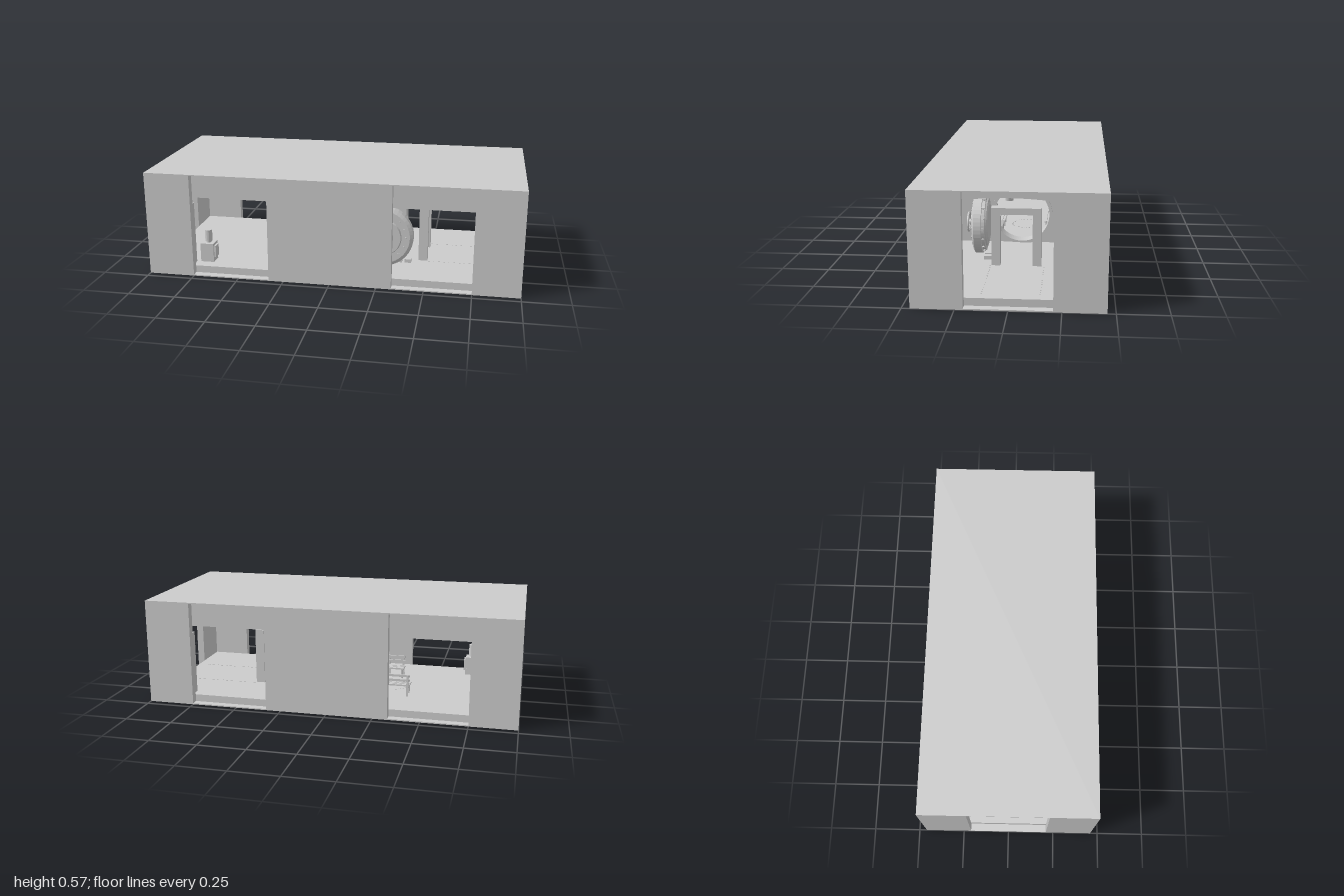
import * as THREE from 'three';

const grey = new THREE.MeshStandardMaterial({ color: 0xcccccc, flatShading: true });

export function createModel() {
  const root = new THREE.Group();

  const group = (name, x = 0, y = 0, z = 0, parent = root) => {
    const g = new THREE.Group();
    g.name = name;
    g.position.set(x, y, z);
    parent.add(g);
    return g;
  };
  const add = (name, geo, x = 0, y = 0, z = 0, parent = root) => {
    const m = new THREE.Mesh(geo, grey);
    m.name = name;
    m.position.set(x, y, z);
    parent.add(m);
    return m;
  };
  // Box from its minimum and maximum on each axis
  const box = (name, x0, x1, y0, y1, z0, z1, parent = root) =>
    add(name, new THREE.BoxGeometry(x1 - x0, y1 - y0, z1 - z0),
      (x0 + x1) / 2, (y0 + y1) / 2, (z0 + z1) / 2, parent);
  const cyl = (name, r0, r1, h, x, y, z, parent = root, n = 24) =>
    add(name, new THREE.CylinderGeometry(r0, r1, h, n), x, y, z, parent);
  // Shape in the z-y plane, extruded along x
  const acrossX = (name, shape, x0, x1) => {
    const geo = new THREE.ExtrudeGeometry(shape, { depth: x1 - x0, bevelEnabled: false, curveSegments: 48 });
    geo.rotateY(Math.PI / 2);
    return add(name, geo, x0, 0, 0);
  };

  const W = 0.42, SPRING = 0.435, FLOOR = 0.045;
  // Points of the elliptical ceiling, from +z to -z
  const arch = (drop = 0) => Array.from({ length: 33 }, (_, i) => {
    const a = (i / 32) * Math.PI;
    return new THREE.Vector2(Math.cos(a) * (W - drop), SPRING + Math.sin(a) * (0.095 - drop));
  });

  // Outer shell: roof, base and wall piers between the open bays
  box('roof', -1, 1, 0.564, 0.57, -0.46, 0.46);
  box('base', -1, 1, 0, 0.006, -0.46, 0.46);
  for (const s of [-1, 1]) {
    const z0 = s > 0 ? 0.42 : -0.46;
    for (const [a, b] of [[-1, -0.75], [-0.33, 0.33], [0.75, 1]])
      box('sideWall', a, b, 0.006, 0.564, z0, z0 + 0.04);
    const x0 = s > 0 ? 0.96 : -1;
    box('endWall', x0, x0 + 0.04, 0.006, 0.564, 0.21, 0.43);
    box('endWall', x0, x0 + 0.04, 0.006, 0.564, -0.43, -0.21);
  }

  // Floor slab and vaulted ceiling block
  box('floor', -0.96, 0.96, 0.006, FLOOR, -W, W);
  acrossX('vaultedCeiling', new THREE.Shape([
    ...arch(), new THREE.Vector2(-W, 0.564), new THREE.Vector2(W, 0.564)]), -0.96, 0.96);
  for (const x of [-0.78, -0.26, 0.26, 0.78])
    acrossX('ceilingRib', new THREE.Shape([...arch(), ...arch(0.014).reverse()]), x - 0.014, x + 0.014);

  // Ceiling lamps
  for (const x of [-0.88, -0.52, 0.52, 0.88]) {
    const lamp = group('ceilingLamp', x, 0, 0);
    cyl('lampFlange', 0.03, 0.03, 0.009, 0, 0.526, 0, lamp);
    cyl('lampBody', 0.022, 0.018, 0.022, 0, 0.511, 0, lamp);
  }

  // Partition with the round doorway, its rim and the panel above it
  const wall = new THREE.Shape([...arch(), new THREE.Vector2(-W, FLOOR), new THREE.Vector2(W, FLOOR)]);
  const hole = new THREE.Path();
  hole.absarc(0, 0.21, 0.155, 0, Math.PI * 2, true);
  wall.holes.push(hole);
  acrossX('partition', wall, 0.03, 0.08);
  const rim = new THREE.Shape();
  rim.absarc(0, 0.21, 0.172, 0, Math.PI * 2, false);
  rim.holes.push(hole);
  acrossX('doorwayRim', rim, 0.02, 0.092);
  box('wallPanel', 0.08, 0.09, 0.4, 0.5, -0.15, 0.15);

  // Round vault door, swung open so that it faces the front
  const door = group('vaultDoor', 0.255, 0.21, 0.2);
  const profile = [[0, -0.035], [0.1, -0.035], [0.11, -0.03], [0.125, -0.03], [0.13, -0.022], [0.15, -0.022],
    [0.152, -0.005], [0.168, -0.005], [0.168, 0.035], [0.15, 0.045], [0.105, 0.045], [0.1, 0.055],
    [0.06, 0.055], [0.055, 0.062], [0, 0.062]].map(p => new THREE.Vector2(...p));
  const plate = new THREE.LatheGeometry(profile, 48);
  plate.rotateX(Math.PI / 2);
  add('doorPlate', plate, 0, 0, 0, door);
  for (let i = 0; i < 16; i++) {
    const a = (i / 16) * Math.PI * 2, c = Math.cos(a), s = Math.sin(a);
    const bolt = cyl('lockingBolt', 0.008, 0.008, 0.02, c * 0.149, s * 0.149, -0.013, door, 10);
    bolt.rotation.z = a - Math.PI / 2;
    const rivet = cyl('rivet', 0.006, 0.006, 0.008, c * 0.128, s * 0.128, 0.047, door, 8);
    rivet.rotation.x = Math.PI / 2;
  }
  add('handWheel', new THREE.TorusGeometry(0.05, 0.006, 8, 32), 0, 0, 0.078, door);
  for (let i = 0; i < 3; i++) {
    const spoke = group('wheelSpoke', 0, 0, 0.078, door);
    spoke.rotation.z = Math.PI / 2 + i * Math.PI * 2 / 3;
    box('spoke', 0, 0.05, -0.005, 0.005, -0.004, 0.004, spoke);
  }
  cyl('wheelHub', 0.014, 0.014, 0.03, 0, 0, 0.074, door).rotation.x = Math.PI / 2;
  for (const y of [0.12, 0.3]) {
    box('hingeArm', 0.075, 0.14, y - 0.018, y + 0.018, 0.185, 0.225);
    cyl('hingePin', 0.014, 0.014, 0.055, 0.09, y, 0.205, root, 12);
  }
  // Low floor blocks by the open door
  for (const x of [0.34, 0.39]) box('floorBlock', x - 0.018, x + 0.018, FLOOR, 0.065, 0.14, 0.18);

  // Square gate and pillar behind the door bay
  const gate = group('gate');
  for (const s of [-1, 1])
    box('gatePost', 0.445, 0.495, FLOOR, 0.355, s * 0.1075 - 0.0225, s * 0.1075 + 0.0225, gate);
  box('gateHeader', 0.445, 0.495, 0.32, 0.355, -0.13, 0.13, gate);
  box('wallCabinet', 0.25, 0.329, FLOOR, 0.405, -W, -0.34);

  // Dashed floor studs
  for (const z of [-0.145, 0.135])
    for (let i = 0; i < 15; i++)
      box('floorStud', 0.5 + i * 0.028, 0.51 + i * 0.028, FLOOR, 0.047, z - 0.003, z + 0.003);
  for (let i = 0; i < 24; i++) {
    const a = (i / 24) * Math.PI * 2;
    cyl('ringStud', 0.005, 0.005, 0.002, -0.29 + Math.cos(a) * 0.085, FLOOR + 0.001, Math.sin(a) * 0.085, root, 8);
  }

  // Control console with a cylinder on top
  const console_ = group('console', -0.705, FLOOR, 0.32);
  box('consoleBody', -0.038, 0.036, 0, 0.105, -0.036, 0.036, console_);
  box('consolePanel', 0.036, 0.046, 0.025, 0.09, -0.025, 0.025, console_);
  cyl('consoleNeck', 0.014, 0.014, 0.012, 0, 0.108, 0, console_, 16);
  cyl('consoleTank', 0.02, 0.02, 0.065, 0, 0.145, 0, console_, 16);
  for (const s of [-1, 1]) {
    box('consoleButton', s * 0.018 - 0.006, s * 0.018 + 0.006, 0.07, 0.082, -0.041, -0.036, console_);
    box('consoleSlot', s * 0.018 - 0.01, s * 0.018 + 0.01, 0.03, 0.036, -0.04, -0.036, console_);
  }

  // Slatted benches on either side of the floor ring
  const bench = (x0, x1, z, s) => {
    const g = group('bench', 0, 0, z);
    for (const x of [x0 + 0.012, (x0 + x1) / 2, x1 - 0.012]) {
      box('benchBackPost', x - 0.005, x + 0.005, FLOOR, 0.165, -s * 0.03 - 0.005, -s * 0.03 + 0.005, g);
      box('benchFrontLeg', x - 0.005, x + 0.005, FLOOR, 0.102, s * 0.03 - 0.005, s * 0.03 + 0.005, g);
    }
    for (const k of [-0.02, 0, 0.02, 0.036]) box('seatSlat', x0, x1, 0.1, 0.108, k * s - 0.007, k * s + 0.007, g);
    for (const y of [0.127, 0.153]) box('backSlat', x0, x1, y, y + 0.012, -s * 0.024 - 0.004, -s * 0.024 + 0.004, g);
  };
  bench(-0.405, -0.13, -0.16, 1);
  bench(-0.325, -0.13, 0.16, -1);

  // Desk with a sloping top
  const slope = new THREE.Shape([[0.12, FLOOR], [0.25, FLOOR], [0.25, 0.17], [0.12, 0.11]]
    .map(([z, y]) => new THREE.Vector2(-z, y)));
  acrossX('slopingDesk', slope, -0.1, 0.02);

  // Stocked shelves in two opposite corners
  for (const s of [-1, 1]) {
    const shelf = group('shelfUnit');
    if (s < 0) shelf.rotation.y = Math.PI;
    box('shelfBack', 0.765, 0.9, FLOOR, 0.385, -W, -0.412, shelf);
    for (const x of [0.765, 0.894]) box('shelfSide', x, x + 0.006, FLOOR, 0.385, -W, -0.36, shelf);
    for (let i = 0; i < 5; i++) {
      const y = 0.06 + i * 0.08;
      box('shelfBoard', 0.765, 0.9, y, y + 0.006, -W, -0.36, shelf);
      if (i === 4) continue;
      for (let j = 0; j < 3; j++)
        box('storedBox', 0.778 + j * 0.04, 0.806 + j * 0.04, y + 0.006,
          y + 0.03 + ((i + j) % 3) * 0.012, -0.41, -0.368, shelf);
    }
  }
  return root;
}
